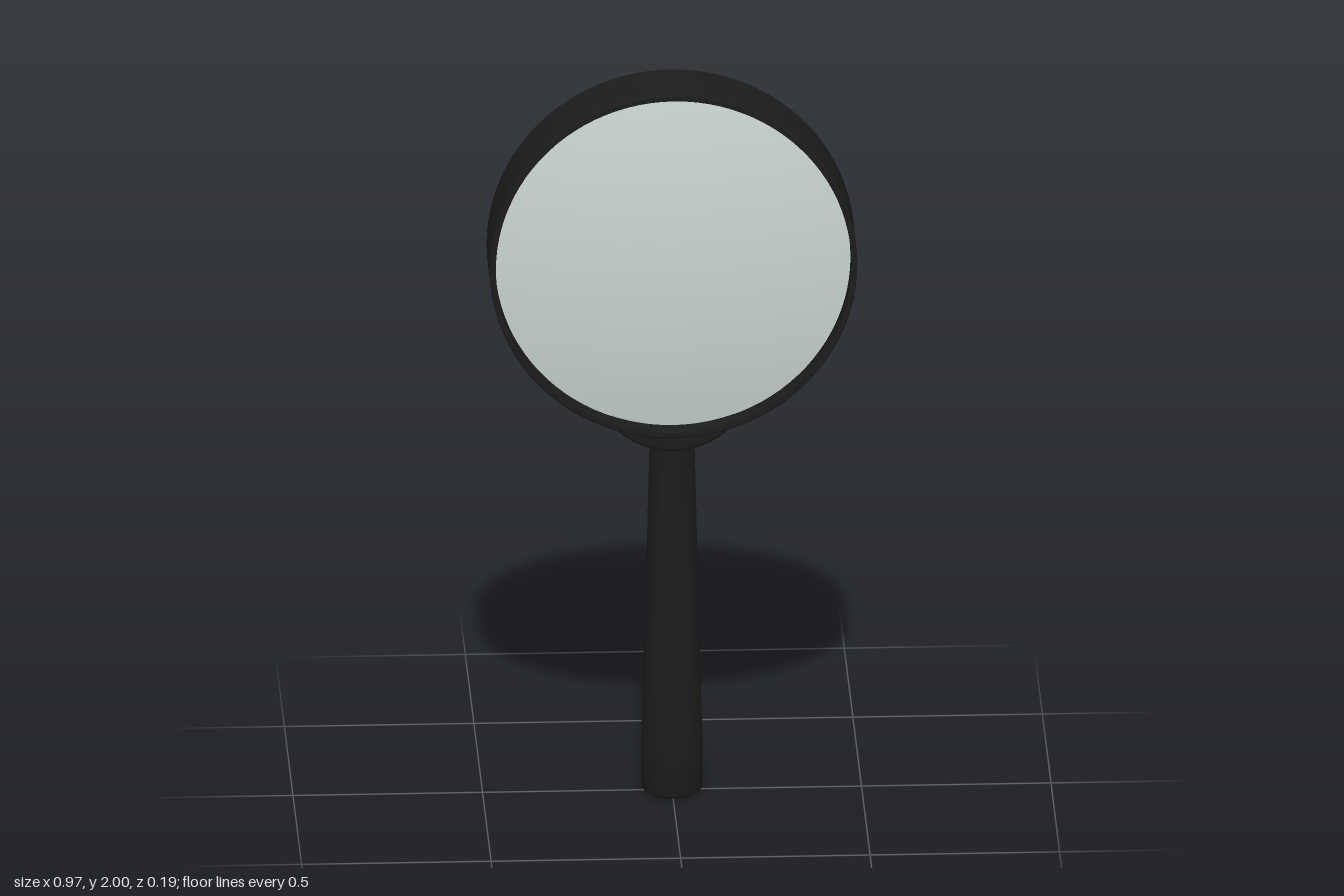
import * as THREE from 'three';
import { toCreasedNormals } from 'three/addons/utils/BufferGeometryUtils.js';

const RING_Y = 1.515, RING_R = 0.485, INNER_R = 0.469, RING_HALF = 0.097;

const black = new THREE.MeshStandardMaterial({ color: 0x1c1c1c });
black.name = 'black plastic';
const glass = new THREE.MeshStandardMaterial({ color: 0xc8d3d0 });
glass.name = 'pale glass';

function lathe(points, segments) {
  return new THREE.LatheGeometry(points.map(([r, y]) => new THREE.Vector2(r, y)), segments);
}

export function createModel() {
  const group = new THREE.Group();
  const add = (name, geometry, material) => {
    const mesh = new THREE.Mesh(geometry, material);
    mesh.name = name;
    group.add(mesh);
    return mesh;
  };

  // Deep round frame, closed profile turned to face the front
  const b = 0.003;
  const frame = lathe([
    [INNER_R, -RING_HALF], [RING_R - b, -RING_HALF], [RING_R, -RING_HALF + b],
    [RING_R, RING_HALF - b], [RING_R - b, RING_HALF], [INNER_R, RING_HALF],
    [INNER_R, -RING_HALF],
  ], 96);
  frame.rotateX(Math.PI / 2);
  add('frame', toCreasedNormals(frame, 0.5), black).position.y = RING_Y;

  // Biconvex lens set back inside the frame
  const edge = 0.042, bulge = 0.045, steps = 14, profile = [];
  const radius = (INNER_R ** 2 + bulge ** 2) / (2 * bulge);
  const height = (r) => edge + bulge - radius + Math.sqrt(radius ** 2 - r ** 2);
  for (let i = 0; i <= steps; i++) {
    const r = (INNER_R * i) / steps;
    profile.push([r, -height(r)]);
  }
  for (let i = steps; i >= 0; i--) {
    const r = (INNER_R * i) / steps;
    profile.push([r, height(r)]);
  }
  const lens = lathe(profile, 96);
  lens.rotateX(Math.PI / 2);
  add('lens', toCreasedNormals(lens, 0.6), glass).position.y = RING_Y;

  // Bowl-shaped collar between frame and handle; its top follows the ring
  const bevel = 0.008, collarR = 0.205, collarY = 1.198;
  const shape = new THREE.Shape();
  const a = 0.96;
  shape.absarc(0, collarY, collarR, -Math.PI / 2 - a, -Math.PI / 2 + a, false);
  const t = Math.asin((collarR * Math.sin(a)) / 0.476);
  shape.absarc(0, RING_Y, 0.476, -Math.PI / 2 + t, -Math.PI / 2 - t, true);
  const collar = new THREE.ExtrudeGeometry(shape, {
    depth: 0.14, bevelEnabled: true, bevelThickness: bevel, bevelSize: bevel,
    bevelOffset: 0, bevelSegments: 3, curveSegments: 32,
  });
  collar.translate(0, 0, -0.07);
  add('collar', toCreasedNormals(collar, 0.6), black);

  // Tapered handle with a softly rounded butt
  const handle = lathe([
    [0, 0], [0.068, 0], [0.075, 0.004], [0.079, 0.011], [0.08, 0.02],
    [0.08, 0.14], [0.06, 0.96], [0.059, 1.02], [0, 1.02],
  ], 48);
  add('handle', toCreasedNormals(handle, 0.7), black);

  return group;
}
